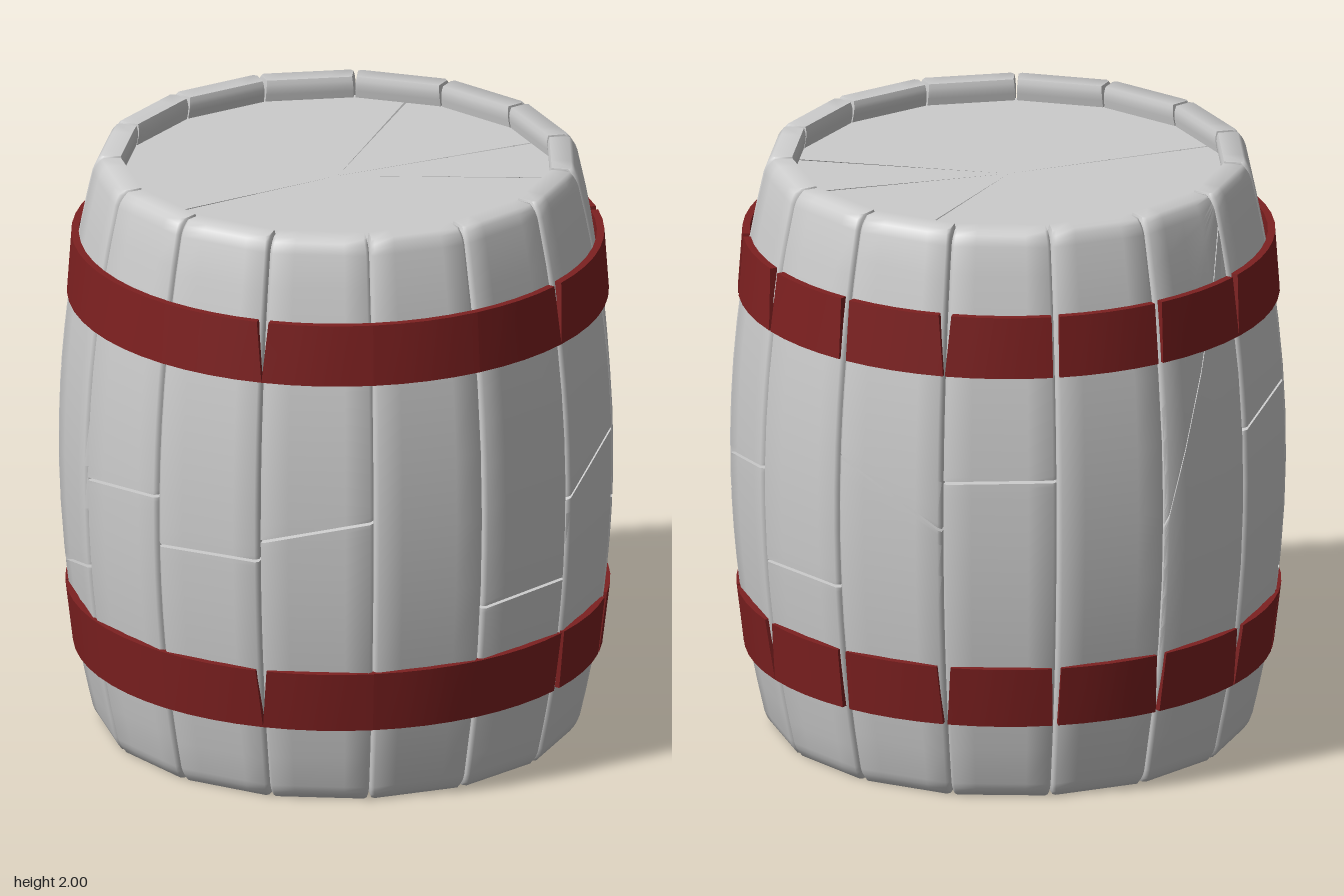
import * as THREE from 'three';
import { toCreasedNormals } from 'three/addons/utils/BufferGeometryUtils.js';

const STAVES = 15;
const STEP = (Math.PI * 2) / STAVES;
const DEG = Math.PI / 180;

// Closed solid from stacked rings; each ring runs along the outside, then back along the inside.
function loft(rings, crease) {
  const n = rings[0].length, last = (rings.length - 1) * n, index = [];
  const quad = (a, b, c, d) => index.push(a, b, c, a, c, d);
  for (let j = 0; j < rings.length - 1; j++) {
    for (let i = 0; i < n; i++) {
      const k = (i + 1) % n;
      quad(j * n + i, j * n + k, (j + 1) * n + k, (j + 1) * n + i);
    }
  }
  for (let i = 0; i < n / 2 - 1; i++) {
    quad(last + i, last + i + 1, last + n - 2 - i, last + n - 1 - i);
    quad(n - 1 - i, n - 2 - i, i + 1, i);
  }
  const geo = new THREE.BufferGeometry();
  geo.setAttribute('position', new THREE.Float32BufferAttribute(rings.flat(2), 3));
  geo.setIndex(index);
  return toCreasedNormals(geo, crease);
}

// Barrel bulge, with softened ends
const bulge = (y) => 0.935 - 0.125 * (y - 1) ** 2;
const soften = (y) => {
  const d = Math.min(y, 2 - y);
  return d < 0.05 ? 0.016 * (1 - d / 0.05) ** 2 : 0;
};

// One length of stave between two sloping ends (each end: [y at first seam, y at second seam])
function staveGeometry(k, lo, hi) {
  const us = [-1, -0.93, -0.5, 0, 0.5, 0.93, 1];
  const mid = (k + 0.5) * STEP;
  const point = (u, y, inside) => {
    const cut = Math.abs(u) === 1 ? 0.012 : 0;
    const r = inside ? bulge(y) - 0.1 + soften(y) : bulge(y) - soften(y) - cut;
    const side = u * (r * Math.sin(STEP / 2) - 0.003 - soften(y) * 0.3);
    const out = r * Math.cos(STEP / 2);
    return [
      out * Math.sin(mid) + side * Math.cos(mid), y,
      out * Math.cos(mid) - side * Math.sin(mid),
    ];
  };
  const levels = [];
  for (const d of [0, 0.015, 0.03, 0.05]) levels.push((a) => a + d * 0.98);
  for (let s = 1; s < 8; s++) levels.push((a, b) => a + 0.05 + (b - a - 0.1) * s / 8);
  for (const d of [0.05, 0.03, 0.015, 0]) levels.push((a, b) => b - d * 0.98);
  const rings = levels.map((level) => {
    const yAt = (u) => {
      const f = (u + 1) / 2;
      const a = lo[0] + (lo[1] - lo[0]) * f, b = hi[0] + (hi[1] - hi[0]) * f;
      return b - a < 0.11 ? a + (b - a) * levels.indexOf(level) / (levels.length - 1) : level(a, b);
    };
    return [
      ...us.map((u) => point(u, yAt(u), false)),
      ...us.slice().reverse().map((u) => point(u, yAt(u), true)),
    ];
  });
  return loft(rings, 55 * DEG);
}

// One piece of hoop between two seams; gaps are in degrees [top, bottom]
function hoopGeometry(k, y0, y1, r0, r1, gapA, gapB) {
  const ring = (y, r, e) => {
    const a = k * STEP + (gapA[e] / 2) * DEG, b = (k + 1) * STEP - (gapB[e] / 2) * DEG;
    const outer = [], inner = [];
    for (let i = 0; i <= 4; i++) {
      const t = a + ((b - a) * i) / 4;
      outer.push([r * Math.sin(t), y, r * Math.cos(t)]);
      inner.unshift([(r - 0.025) * Math.sin(t), y, (r - 0.025) * Math.cos(t)]);
    }
    return [...outer, ...inner];
  };
  return loft([ring(y0, r0, 1), ring(y1, r1, 0)], 35 * DEG);
}

export function createModel() {
  const model = new THREE.Group();
  model.name = 'barrel';
  const wood = new THREE.MeshStandardMaterial({ color: 0xcccccc });
  wood.name = 'pale grey wood';
  const red = new THREE.MeshStandardMaterial({ color: 0x7d2020 });
  red.name = 'dark red hoop';
  const add = (parent, name, geo, mat) => {
    const mesh = new THREE.Mesh(geo, mat);
    mesh.name = name;
    parent.add(mesh);
    return mesh;
  };

  // Staves: heights of the slanted crack at each seam, null for a whole stave
  const cracks = [
    [0.68, 0.69], [0.97, 1.1], [0.84, 0.835], [0.97, 1.04], [0.715, 0.72],
    [1.19, 0.98], [1.15, 1.16], null, [0.95, 1.93], [1.19, 1.25],
    [0.57, 0.68], [1.0, 1.05], [0.88, 0.89], [0.96, 1.04], null,
  ];
  const staves = new THREE.Group();
  staves.name = 'staves';
  cracks.forEach((c, k) => {
    if (!c) {
      add(staves, 'stave', staveGeometry(k, [0, 0], [2, 2]), wood);
      return;
    }
    const shift = (d) => c.map((y) => y + d);
    add(staves, 'lowerStave', staveGeometry(k, [0, 0], shift(-0.005)), wood);
    add(staves, 'upperStave', staveGeometry(k, shift(0.005), [2, 2]), wood);
  });
  model.add(staves);

  // Hoops, split by notches at some of the seams
  const hoops = [
    { name: 'upperHoop', y0: 1.52, y1: 1.73, r0: 0.905, r1: 0.89, gaps: {
      1: [2.6, 0], 3: [2, 1.6], 4: [3.2, 0.6], 5: [2.2, 1.8], 6: [2.8, 0.4],
      7: [1.8, 1.4], 8: [1.8, 1.2], 9: [2, 0], 13: [2.6, 0] } },
    { name: 'lowerHoop', y0: 0.28, y1: 0.49, r0: 0.885, r1: 0.91, gaps: {
      1: [1, 2], 2: [2.6, 1.2], 3: [1, 2.6], 4: [3, 0], 5: [2, 1.8], 6: [3, 1],
      7: [2, 1.2], 8: [2.4, 1], 9: [2.4, 0.4], 10: [0.4, 1.4], 13: [2.4, 0] } },
  ];
  for (const h of hoops) {
    const group = new THREE.Group();
    group.name = h.name;
    const gap = (k) => h.gaps[k % STAVES] || [0, 0];
    for (let k = 0; k < STAVES; k++) {
      add(group, 'hoopPiece', hoopGeometry(k, h.y0, h.y1, h.r0, h.r1, gap(k), gap(k + 1)), red);
    }
    model.add(group);
  }

  // Lids: four wedges with fine splits between them
  const splits = [56.8, 83.5, 130, 270];
  for (const [name, y] of [['topLid', 1.9], ['bottomLid', 0.1]]) {
    const lid = new THREE.Group();
    lid.name = name;
    splits.forEach((a, i) => {
      const span = (splits[(i + 1) % 4] - a + 360) % 360;
      const wedge = new THREE.CylinderGeometry(0.75, 0.75, 0.05, Math.ceil(span / 8), 1, false,
        (a + 0.3) * DEG, (span - 0.6) * DEG);
      add(lid, 'lidWedge', wedge, wood).position.y = y;
    });
    model.add(lid);
  }

  // Odd stave count: shift so that front corner and flat back are centred
  for (const part of model.children) part.position.z = -0.01;
  return model;
}
